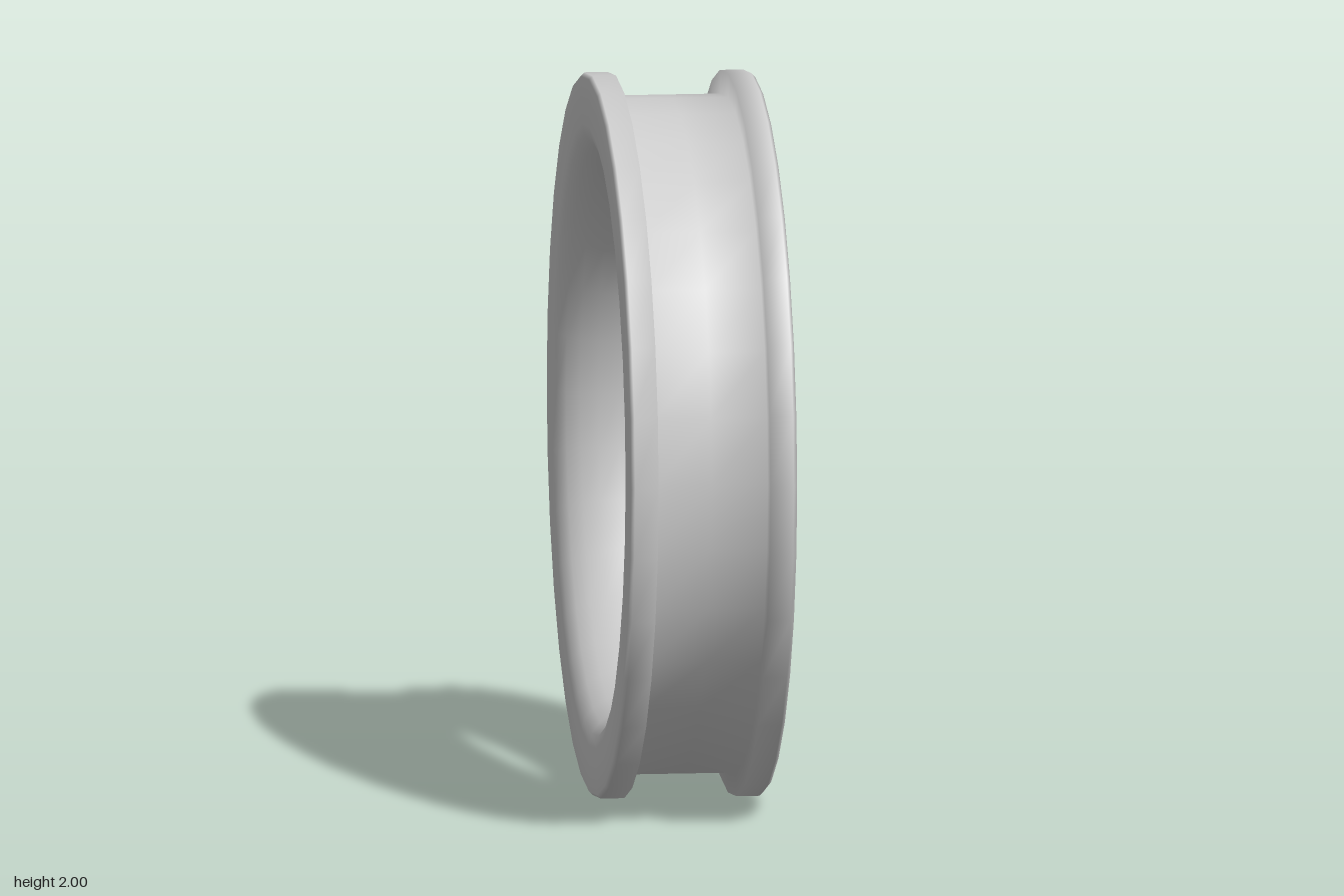
import * as THREE from 'three';

const HALF = 0.23;     // half width across both flanges
const GROOVE = 0.155;  // half width of the outer groove

// Half of the ring's section, as [radius, distance from the middle]
function halfSection() {
  const points = [];
  // flared bore: quarter ellipse from the waist to the end face
  for (let i = 0; i <= 6; i++) {
    const a = (i / 6) * Math.PI / 2;
    points.push([0.86 - 0.125 * Math.cos(a), HALF * Math.sin(a)]);
  }
  // end face, rim, groove wall and groove floor
  points.push([0.93, HALF], [0.99, HALF], [1, HALF - 0.01], [1, GROOVE], [0.935, GROOVE], [0.935, 0]);
  return points;
}

export function createModel() {
  const group = new THREE.Group();
  group.name = 'grooved ring';

  // Mirror the half section into a closed loop that starts at the waist
  const half = halfSection();
  const lower = half.map(([r, d]) => new THREE.Vector2(r, -d));
  const upper = half.slice(0, -1).reverse().map(([r, d]) => new THREE.Vector2(r, d));

  // Turn the section, then lay its axis along x
  const geometry = new THREE.LatheGeometry([...lower, ...upper], 32);
  geometry.rotateZ(Math.PI / 2);
  geometry.translate(0, 1, 0);

  const ring = new THREE.Mesh(geometry, new THREE.MeshStandardMaterial({ color: 0xcccccc }));
  ring.name = 'flangedRing';
  group.add(ring);
  return group;
}
